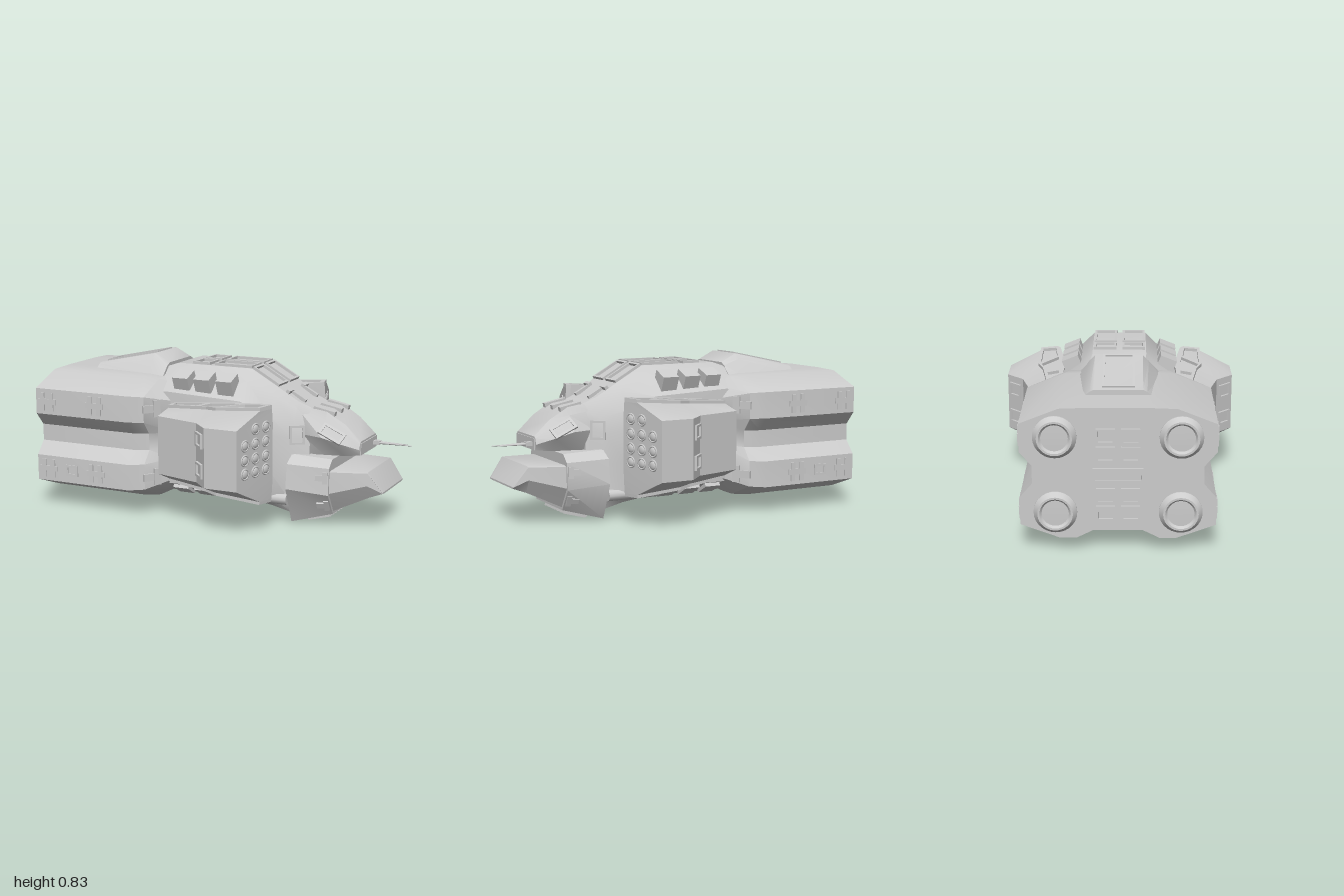
import * as THREE from 'three';
import { toCreasedNormals } from 'three/addons/utils/BufferGeometryUtils.js';

const grey = new THREE.MeshStandardMaterial({ color: 0xcccccc });

function add(parent, name, geo, pos = [0, 0, 0], rot = [0, 0, 0]) {
  const m = new THREE.Mesh(geo, grey);
  m.name = name;
  m.position.set(...pos);
  m.rotation.set(...rot);
  parent.add(m);
  return m;
}
const box = (p, name, size, pos, rot) => add(p, name, new THREE.BoxGeometry(...size), pos, rot);

// Skin a list of closed rings, each a list of [x, y, z], and cap both ends.
function skin(rings) {
  const out = [], n = rings[0].length;
  const centre = r => [0, 1, 2].map(k => r.reduce((s, p) => s + p[k], 0) / n);
  const first = rings[0], last = rings[rings.length - 1];
  const c0 = centre(first), c1 = centre(last);
  for (let j = 0; j < n; j++) {
    const k = (j + 1) % n;
    for (let i = 0; i + 1 < rings.length; i++) {
      const [a, b, c, d] = [rings[i][j], rings[i][k], rings[i + 1][k], rings[i + 1][j]];
      out.push(...a, ...b, ...c, ...a, ...c, ...d);
    }
    out.push(...c0, ...first[k], ...first[j], ...c1, ...last[j], ...last[k]);
  }
  const g = new THREE.BufferGeometry();
  g.setAttribute('position', new THREE.Float32BufferAttribute(out, 3));
  return toCreasedNormals(g, 0.5);
}

// Loft along x from half profiles [z, y], listed top to bottom and mirrored in z.
const loft = sections => skin(sections.map(([x, half]) => [
  ...half.map(([z, y]) => [x, y, z]),
  ...half.slice().reverse().map(([z, y]) => [x, y, -z])]));

// Flat plate with cut-outs, from lists of 2D points.
function plate(outline, holes, depth) {
  const points = list => list.map(p => new THREE.Vector2(...p));
  const s = new THREE.Shape(points(outline));
  s.holes = holes.map(h => new THREE.Path(points(h)));
  return new THREE.ExtrudeGeometry(s, { depth, bevelEnabled: false });
}
const rect = (a, b) => [[-a, -b], [a, -b], [a, b], [-a, b]];
const frame = (w, h, t = 0.012, depth = 0.012) =>
  plate(rect(w / 2, h / 2), [rect(w / 2 - t, h / 2 - t)], depth);

function engineBlock(g) {
  const half = [[.14, .73], [.28, .725], [.47, .65], [.47, .51], [.41, .44], [.41, .35],
    [.47, .28], [.47, .14], [.28, .07], [.2, .07], [.12, .11]];
  const shape = (sz, sy) => half.map(([z, y]) => [z * sz, .4 + (y - .4) * sy]);
  add(g, 'engineBlock', loft([[-.97, shape(1, 1)], [-.4, shape(1, 1)],
    [-.32, shape(.92, .98)], [-.23, shape(.64, .85)]]));
  // Sloping dorsal fairing with its framed hatch
  add(g, 'dorsalFairing', loft([
    [-.77, [[.12, .755], [.14, .745], [.18, .71]]],
    [-.42, [[.12, .83], [.15, .8], [.21, .71]]],
    [-.33, [[.12, .785], [.15, .77], [.21, .71]]]]));
  add(g, 'dorsalHatch', frame(.33, .16), [-.585, .79, 0], [-Math.PI / 2, -.21, 0]);
  // Nozzles with dished ends
  const nozzle = new THREE.LatheGeometry([[.105, -.02], [.105, .005], [.085, .03],
    [.075, .03], [.065, .018], [0, .02]].map(p => new THREE.Vector2(...p)), 28);
  for (const z of [-.3, .3]) for (const y of [.585, .205])
    add(g, 'nozzle', toCreasedNormals(nozzle, .5), [-.97, y, z], [0, 0, Math.PI / 2]);
  // Access panels on the stern
  for (const y of [.2, .29, .5, .59]) for (const z of [-.06, .06])
    add(g, 'sternPanel', frame(.09, .075, .01), [-.968, y, z], [0, -Math.PI / 2, 0]);
  add(g, 'sternPanel', frame(.24, .07, .01), [-.968, .395, 0], [0, -Math.PI / 2, 0]);
}

function mainHull(g) {
  add(g, 'mainHull', loft([
    [-.45, [[.12, .73], [.19, .7], [.29, .62], [.31, .5], [.31, .3], [.29, .14], [.2, .09]]],
    [-.26, [[.14, .79], [.2, .73], [.3, .66], [.3, .5], [.3, .3], [.3, .16], [.2, .1]]],
    [.17, [[.14, .79], [.2, .73], [.29, .64], [.3, .5], [.3, .3], [.28, .16], [.2, .1]]],
    [.32, [[.14, .705], [.19, .67], [.25, .57], [.27, .47], [.27, .3], [.26, .15], [.2, .08]]],
    [.43, [[.12, .633], [.14, .6], [.18, .53], [.2, .45], [.21, .3], [.22, .12], [.19, .05]]],
    [.51, [[.11, .6], [.13, .57], [.14, .52], [.15, .45], [.17, .3], [.2, .1], [.18, .04]]]]));
  for (const s of [-1, 1]) {
    // Roof panels that bend over the front slope
    add(g, 'roofPanel', frame(.1, .12, .012, .018), [-.13, .786, s * .075], [-Math.PI / 2, 0, 0]);
    add(g, 'roofPanel', frame(.22, .12, .012, .018), [.06, .786, s * .075], [-Math.PI / 2, 0, 0]);
    add(g, 'roofPanel', frame(.17, .12, .012, .018), [.245, .743, s * .075], [-Math.PI / 2, .515, 0]);
    // Grab handles ahead of the roof
    box(g, 'handle', [.1, .025, .02], [.41, .65, s * .08], [0, 0, -.5]);
    box(g, 'handle', [.02, .03, .06], [.37, .675, s * .1], [0, 0, -.5]);
    add(g, 'neckPanel', frame(.08, .1), [.45, .47, s * .186],
      [0, s > 0 ? .6 : Math.PI - .6, 0]);
  }
}

// Everything here is built on the +z side and mirrored.
function sideParts() {
  const g = new THREE.Group();
  const outer = [[-.22, .31], [-.22, .46], [.04, .53], [.13, .62], [.31, .62], [.39, .36], [.37, .34], [.13, .3]];
  const inner = [[-.2, .31], [-.2, .38], [.04, .42], [.11, .45], [.36, .45], [.385, .36], [.365, .34], [.13, .3]];
  const ring = (list, y, slope = 0) => list.map(([x, z]) => [x, y + slope * x, z]);
  const tilt = .08;
  add(g, 'launcherPod', skin([ring(inner, .193, -tilt), ring(outer, .25),
    ring(outer, .56), ring(inner, .607, tilt)]));
  box(g, 'podArm', [.3, .3, .14], [0, .4, .27]);
  // Truss plates above and below the pod
  const truss = plate(inner, [
    [[-.18, .325], [.0, .33], [-.03, .39], [-.18, .365]],
    [[.03, .33], [.21, .34], [.1, .43], [.0, .4]],
    [[.23, .35], [.355, .365], [.34, .435], [.13, .435]]], .02);
  add(g, 'upperTruss', truss, [0, .623, 0], [Math.PI / 2, tilt, 0]);
  add(g, 'lowerTruss', truss, [0, .197, 0], [Math.PI / 2, -tilt, 0]);
  // Launch tubes on the slanted front face
  const turn = Math.atan2(.26, .08);
  for (const y of [.33, .4, .475, .55]) for (const z of [.41, .485, .56]) {
    if (y === .55 && z === .56) continue;
    const at = [.39 - (z - .36) * .308, y, z];
    add(g, 'tubeRim', new THREE.TorusGeometry(.026, .005, 8, 20), at, [0, turn, 0]);
    add(g, 'tubeCap', new THREE.SphereGeometry(.022, 16, 8).scale(1, 1, .4), at, [0, turn, 0]);
  }
  for (const y of [.33, .485])
    add(g, 'podWindow', frame(.09, .075), [.083, y, .573], [0, -Math.PI / 4, 0]);
  // Shoulder clamps above, flatter ones underneath
  for (const x of [-.175, -.05, .08]) {
    box(g, 'upperClamp', [.09, .09, .09], [x, .712, .243], [.38, 0, 0]);
    box(g, 'lowerClamp', [.09, .04, .09], [x, .135, .25], [-.5, 0, 0]);
  }
  add(g, 'lowerPipe', new THREE.CylinderGeometry(.03, .03, .3, 12), [.27, .13, .23], [0, 0, Math.PI / 2]);
  // Nacelle side fittings: a bar with a bracket at each end
  for (const y of [.58, .21]) {
    for (const x of [-.9, -.6]) {
      box(g, 'crossFitting', [.11, .03, .014], [x, y, .47]);
      for (const dx of [-.028, .028]) box(g, 'crossFitting', [.025, .1, .014], [x + dx, y, .47]);
    }
    box(g, 'shoulderFitting', [.1, .04, .03], [-.3, y, .395], [0, 1, 0]);
    box(g, 'shoulderFitting', [.04, .09, .03], [-.28, y, .37], [0, 1, 0]);
  }
  add(g, 'sidePanel', frame(.075, .06), [-.75, .21, .464]);
  // Head eye frame and jaw latches
  add(g, 'eyeFrame', frame(.13, .07, .014), [.635, .485, .163], [-.75, .32, -.3]);
  for (const y of [.12, .27]) {
    box(g, 'jawLatch', [.06, .03, .02], [.61, y, y < .2 ? .215 : .244], [y < .2 ? .45 : 0, .2, 0]);
    box(g, 'jawLatch', [.025, .06, .02], [.63, y, y < .2 ? .21 : .24], [y < .2 ? .45 : 0, .2, 0]);
  }
  return g;
}

function nose(g) {
  add(g, 'head', loft([
    [.46, [[.11, .61], [.14, .57], [.16, .47], [.13, .36]]],
    [.59, [[.12, .59], [.14, .55], [.2, .47], [.15, .37]]],
    [.69, [[.11, .53], [.14, .5], [.18, .44], [.13, .37]]],
    [.775, [[.11, .45], [.125, .44], [.135, .41], [.125, .38]]]]));
  for (const z of [-.1, 0, .1]) box(g, 'browRidge', [.12, .025, .03], [.57, .59, z], [0, 0, -.2]);
  box(g, 'chinPlate', [.02, .06, .24], [.77, .41, 0]);
  // Twin guns on one side of the chin
  for (const [z, end] of [[-.09, .96], [-.07, .99]]) {
    box(g, 'gunMount', [.05, .02, .015], [.79, .41, z]);
    add(g, 'gunBarrel', new THREE.CylinderGeometry(.002, .007, end - .78, 8),
      [(end + .78) / 2, .41, z], [0, 0, -Math.PI / 2]);
  }
  // Collar, then the jaw wedge with its bevelled tip
  add(g, 'jawCollar', loft([
    [.43, [[.2, .37], [.27, .33], [.285, .2], [.2, .005]]],
    [.65, [[.19, .36], [.235, .32], [.245, .18], [.17, .065]]]]));
  add(g, 'jaw', loft([
    [.64, [[.2, .305], [.23, .3], [.235, .185], [.165, .075]]],
    [.84, [[.175, .31], [.185, .305], [.19, .24], [.15, .17]]],
    [.915, [[.14, .207], [.165, .205], [.16, .201], [.14, .198]]]]));
  // Grille under the collar
  box(g, 'grille', [.13, .03, .26], [.55, .04, 0], [0, 0, .27]);
  for (let i = 0; i < 7; i++)
    box(g, 'grilleBar', [.13, .04, .012], [.555, .038, -.12 + i * .04], [0, 0, .27]);
}

export function createModel() {
  const model = new THREE.Group();
  model.name = 'gunship';
  engineBlock(model);
  mainHull(model);
  nose(model);
  const near = sideParts(), far = sideParts();
  near.name = 'nearSide';
  far.name = 'farSide';
  far.scale.z = -1;
  model.add(near, far);
  return model;
}
